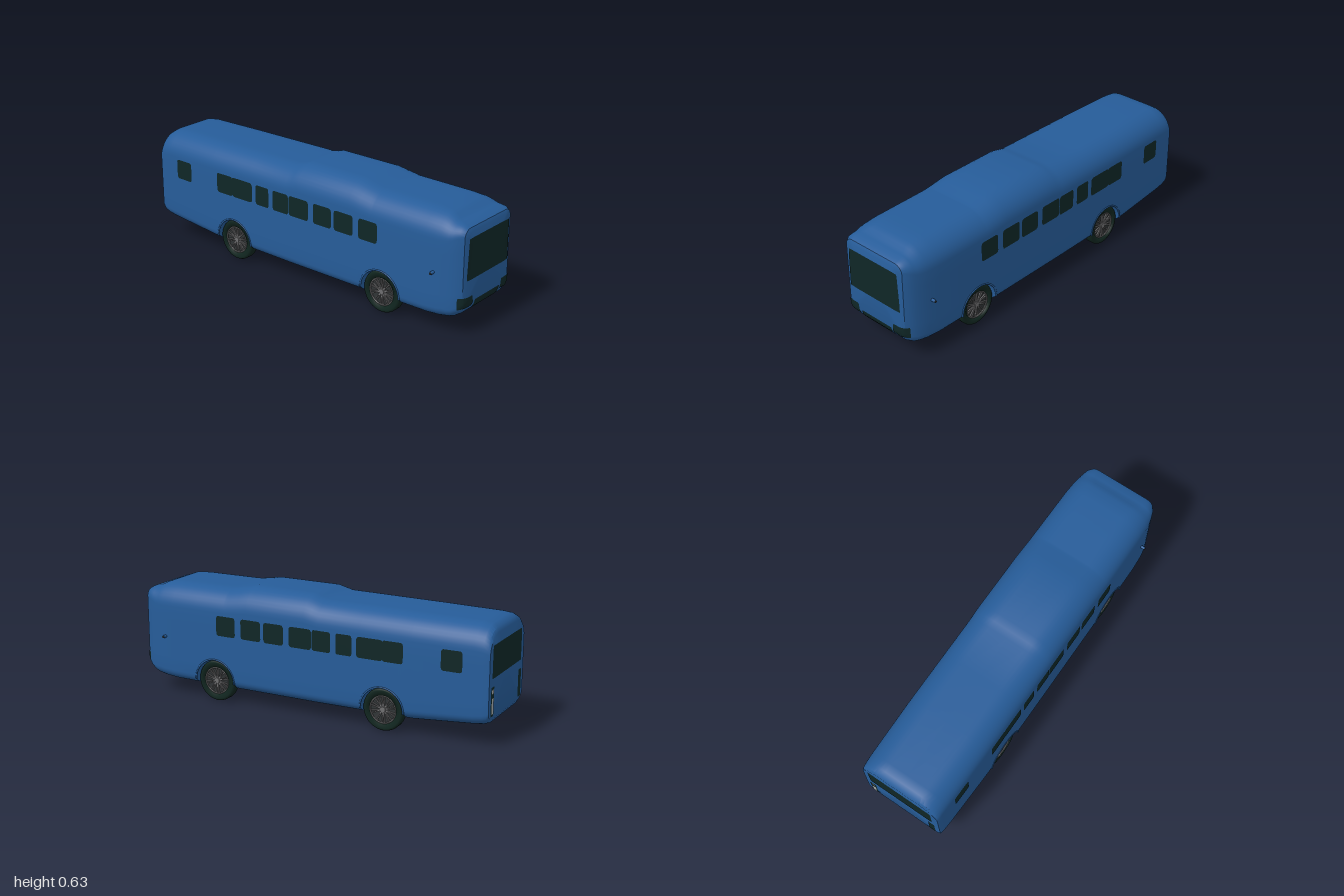
import * as THREE from 'three';
import { toCreasedNormals } from 'three/addons/utils/BufferGeometryUtils.js';

const mat = (name, color, extra = {}) => Object.assign(new THREE.MeshStandardMaterial({ color, ...extra }), { name });

// Wheel positions and arch size
const AXLES = [0.537, -0.443], AXLE_Y = 0.11, ARCH_R = 0.119;

// Body stations: z, half width, floor y, roof y, roof corner radius, floor corner radius
const STATIONS = [
  [1.0, 0.165, 0.17, 0.535, 0.03, 0.03],
  [0.992, 0.19, 0.145, 0.552, 0.045, 0.04],
  [0.97, 0.207, 0.115, 0.564, 0.06, 0.05],
  [0.94, 0.218, 0.095, 0.57, 0.08, 0.06],
  [0.92, 0.223, 0.088, 0.576, 0.095, 0.065],
  [0.9, 0.227, 0.084, 0.588, 0.11, 0.07],
  [0.87, 0.231, 0.08, 0.599, 0.125, 0.07],
  [0.8, 0.235, 0.076, 0.604, 0.13, 0.07],
  [0.47, 0.237, 0.075, 0.606, 0.13, 0.07],
  [0.4, 0.237, 0.075, 0.618, 0.135, 0.07],
  [0.34, 0.237, 0.075, 0.629, 0.14, 0.07],
  [0.0, 0.237, 0.075, 0.629, 0.14, 0.07],
  [-0.04, 0.237, 0.075, 0.618, 0.135, 0.07],
  [-0.08, 0.237, 0.075, 0.607, 0.13, 0.07],
  [-0.6, 0.236, 0.08, 0.604, 0.13, 0.07],
  [-0.92, 0.23, 0.106, 0.602, 0.13, 0.07],
  [-0.965, 0.228, 0.112, 0.598, 0.13, 0.07],
  [-0.99, 0.226, 0.122, 0.582, 0.12, 0.065],
  [-1.0, 0.223, 0.14, 0.56, 0.11, 0.055],
];

function archHeight(z) {
  for (const c of AXLES) {
    const d = Math.abs(z - c);
    if (d <= ARCH_R + 1e-6) return AXLE_Y + Math.sqrt(Math.max(ARCH_R ** 2 - d * d, 0));
  }
  return 0;
}

function stationAt(z) {
  let i = 0;
  while (i < STATIONS.length - 2 && STATIONS[i + 1][0] > z) i++;
  const a = STATIONS[i], b = STATIONS[i + 1], t = (z - a[0]) / (b[0] - a[0]);
  return a.map((v, k) => v + (b[k] - v) * t);
}

// Closed cross-section; the outer part is lifted over the wheels
function ring(z) {
  const [, w, yb, yt, rt, rb] = stationAt(z);
  const inner = Math.min(0.15, w - rb - 0.001), lift = archHeight(z), half = [];
  half.push([0, yb], [inner / 2, yb], [inner, yb]);
  const outer = [[inner, yb]];
  const rby = rb * 0.8, rty = rt * 0.92;
  for (let k = 0; k <= 8; k++) {
    const a = (k / 8) * Math.PI / 2;
    outer.push([w - rb + rb * Math.sin(a), yb + rby - rby * Math.cos(a)]);
  }
  for (let k = 1; k < 5; k++) outer.push([w, yb + rby + (yt - rty - yb - rby) * k / 5]);
  for (let k = 0; k <= 10; k++) {
    const a = (k / 10) * Math.PI / 2;
    outer.push([w - rt + rt * Math.cos(a), yt - rty + rty * Math.sin(a)]);
  }
  for (const [x, y] of outer) half.push([x, Math.max(y, lift)]);
  half.push([0, yt]);
  const mirrored = half.slice(1, -1).reverse().map(([x, y]) => [-x, y]);
  return [...half, ...mirrored];
}

function bodyGeometry() {
  const zs = STATIONS.map((s) => s[0]);
  for (const c of AXLES) {
    zs.push(c + ARCH_R + 0.0005, c - ARCH_R - 0.0005);
    for (let k = 0; k <= 20; k++) zs.push(c + ARCH_R * Math.cos(Math.PI * k / 20));
  }
  zs.sort((a, b) => b - a);
  const pos = [], idx = [], rings = zs.map(ring), n = rings[0].length;
  rings.forEach((r, i) => r.forEach(([x, y]) => pos.push(x, y, zs[i])));
  for (let i = 0; i < zs.length - 1; i++) {
    for (let j = 0; j < n; j++) {
      const a = i * n + j, b = i * n + (j + 1) % n, c = b + n, d = a + n;
      idx.push(a, d, b, d, c, b);
    }
  }
  const front = pos.length / 3, back = front + 1, last = (zs.length - 1) * n;
  pos.push(0, 0.35, 1, 0, 0.35, -1);
  for (let j = 0; j < n; j++) {
    const k = (j + 1) % n;
    idx.push(front, j, k, back, last + k, last + j);
  }
  const g = new THREE.BufferGeometry();
  g.setAttribute('position', new THREE.Float32BufferAttribute(pos, 3));
  g.setIndex(idx);
  return toCreasedNormals(g, 0.6);
}

export function createModel() {
  const bus = new THREE.Group();
  bus.name = 'bus';
  const blue = mat('blue paint', 0x265c99);
  const glass = mat('dark glass', 0x0f2626);
  const rubber = mat('tyre rubber', 0x10251f);
  const steel = mat('wheel grey', 0x6e6e70);
  const shade = mat('wheel shadow grey', 0x303436);
  const lamp = mat('lamp grey', 0xa8acac);
  const add = (parent, name, geo, m) => {
    const mesh = new THREE.Mesh(geo, m);
    mesh.name = name;
    parent.add(mesh);
    return mesh;
  };

  const body = add(bus, 'body', bodyGeometry(), blue);

  // Thin panel laid on the body; corners (bl, br, tr, tl seen from outside) are [x or z, y]
  const ray = new THREE.Raycaster();
  function panel(name, axis, sign, [bl, br, tr, tl], m, round = 0.08, offset = 0.002) {
    const g = new THREE.PlaneGeometry(1, 1, 10, 8), p = g.attributes.position;
    const dir = new THREE.Vector3();
    dir[axis] = -sign;
    for (let i = 0; i < p.count; i++) {
      let x = p.getX(i), y = p.getY(i);
      const e = 0.5 - round, dx = Math.max(Math.abs(x) - e, 0), dy = Math.max(Math.abs(y) - e, 0);
      const len = Math.hypot(dx, dy);
      if (dx && dy && len > round) {
        x = Math.sign(x) * (e + dx * round / len);
        y = Math.sign(y) * (e + dy * round / len);
      }
      const u = x + 0.5, v = y + 0.5;
      const mix = (k) => (bl[k] * (1 - u) + br[k] * u) * (1 - v) + (tl[k] * (1 - u) + tr[k] * u) * v;
      const o = axis === 'x' ? new THREE.Vector3(sign * 2, mix(1), mix(0)) : new THREE.Vector3(mix(0), mix(1), sign * 2);
      ray.set(o, dir);
      const hit = ray.intersectObject(body)[0];
      if (hit) o.copy(hit.point);
      o[axis] += sign * offset;
      p.setXYZ(i, o.x, o.y, o.z);
    }
    g.computeVertexNormals();
    return add(bus, name, g, m);
  }
  const rect = (l, r, b, t) => [[l, b], [r, b], [r, t], [l, t]];

  // Side windows: front and rear z of each
  const windows = [[0.52, 0.405], [0.37, 0.25], [0.232, 0.115], [0.082, -0.048], [-0.052, -0.158],
    [-0.187, -0.277], [-0.303, -0.448], [-0.444, -0.557], [-0.755, -0.865]];
  for (const [f, r] of windows) {
    panel('leftWindow', 'x', 1, rect(f, r, 0.365, 0.472), glass, 0.12);
    panel('rightWindow', 'x', -1, rect(r, f, 0.365, 0.472), glass, 0.12);
  }

  // Front glass, grille and headlights
  panel('windscreen', 'z', 1, [[-0.172, 0.29], [0.172, 0.29], [0.164, 0.504], [-0.164, 0.504]], glass, 0.02);
  panel('grille', 'z', 1, [[-0.102, 0.102], [0.108, 0.102], [0.106, 0.175], [-0.1, 0.175]], glass, 0.02, 0.003);
  panel('leftHeadlight', 'z', 1, [[0.114, 0.152], [0.207, 0.146], [0.207, 0.207], [0.122, 0.205]], glass, 0.06, 0.003);
  panel('rightHeadlight', 'z', 1, [[-0.207, 0.146], [-0.114, 0.152], [-0.122, 0.205], [-0.207, 0.207]], glass, 0.06, 0.003);

  // Rear glass and lamps
  panel('rearWindow', 'z', -1, rect(0.19, -0.185, 0.345, 0.51), glass, 0.02);
  panel('rightRearLamp', 'z', -1, rect(-0.157, -0.194, 0.157, 0.3), glass, 0.04);
  panel('leftRearLampFrame', 'z', -1, rect(0.2, 0.163, 0.157, 0.305), glass, 0.04);
  panel('leftRearLampLower', 'z', -1, rect(0.193, 0.17, 0.168, 0.25), lamp, 0.04, 0.004);
  panel('leftRearLampUpper', 'z', -1, rect(0.193, 0.17, 0.272, 0.294), lamp, 0.04, 0.004);

  // Wheel, with its axle along x
  const tyreGeo = new THREE.LatheGeometry([[0.074, -0.024], [0.098, -0.027], [0.106, -0.024], [0.11, -0.017],
    [0.11, 0.017], [0.106, 0.024], [0.098, 0.027], [0.074, 0.024], [0.074, -0.024]]
    .map(([x, y]) => new THREE.Vector2(x, y)), 48).rotateZ(-Math.PI / 2);
  const discGeo = new THREE.CylinderGeometry(0.075, 0.075, 0.026, 32).rotateZ(-Math.PI / 2);
  const rimGeo = new THREE.TorusGeometry(0.07, 0.004, 8, 40).rotateY(Math.PI / 2);
  const hubGeo = new THREE.CylinderGeometry(0.014, 0.018, 0.012, 20).rotateZ(-Math.PI / 2);
  const innerGeo = new THREE.CylinderGeometry(0.07, 0.07, 0.006, 32).rotateZ(-Math.PI / 2);
  function wheel() {
    const g = new THREE.Group();
    g.name = 'wheel';
    add(g, 'tyre', tyreGeo, rubber);
    add(g, 'wheelDisc', discGeo, shade);
    add(g, 'innerDisc', innerGeo, steel).position.x = -0.013;
    add(g, 'rim', rimGeo, steel).position.x = 0.021;
    add(g, 'hub', hubGeo, steel).position.x = 0.018;
    for (let k = 0; k < 10; k++) {
      for (const s of [-1, 1]) {
        const spoke = new THREE.BoxGeometry(0.007, 0.056, 0.005).translate(0, 0.041, 0);
        add(g, 'spoke', spoke, steel).position.x = 0.017;
        g.children.at(-1).rotation.x = (k / 10) * Math.PI * 2 + s * 0.11;
      }
    }
    return g;
  }

  // Wheels, arch lips and mirrors on both sides
  const lipGeo = new THREE.TorusGeometry(ARCH_R, 0.005, 8, 32, Math.PI).rotateY(Math.PI / 2);
  for (const s of [1, -1]) {
    for (const z of AXLES) {
      const w = wheel();
      w.position.set(s * 0.194, AXLE_Y, z);
      if (s < 0) w.rotation.y = Math.PI;
      bus.add(w);
      add(bus, 'archLip', lipGeo, blue).position.set(s * 0.235, AXLE_Y, z);
    }
    const arm = add(bus, 'mirror', new THREE.CapsuleGeometry(0.008, 0.022, 4, 12).rotateZ(Math.PI / 2), blue);
    arm.position.set(s * 0.237, 0.316, 0.85);
    const cap = add(bus, 'mirrorCap', new THREE.CylinderGeometry(0.006, 0.006, 0.004, 12).rotateZ(Math.PI / 2), shade);
    cap.position.set(s * 0.255, 0.316, 0.85);
  }
  return bus;
}
